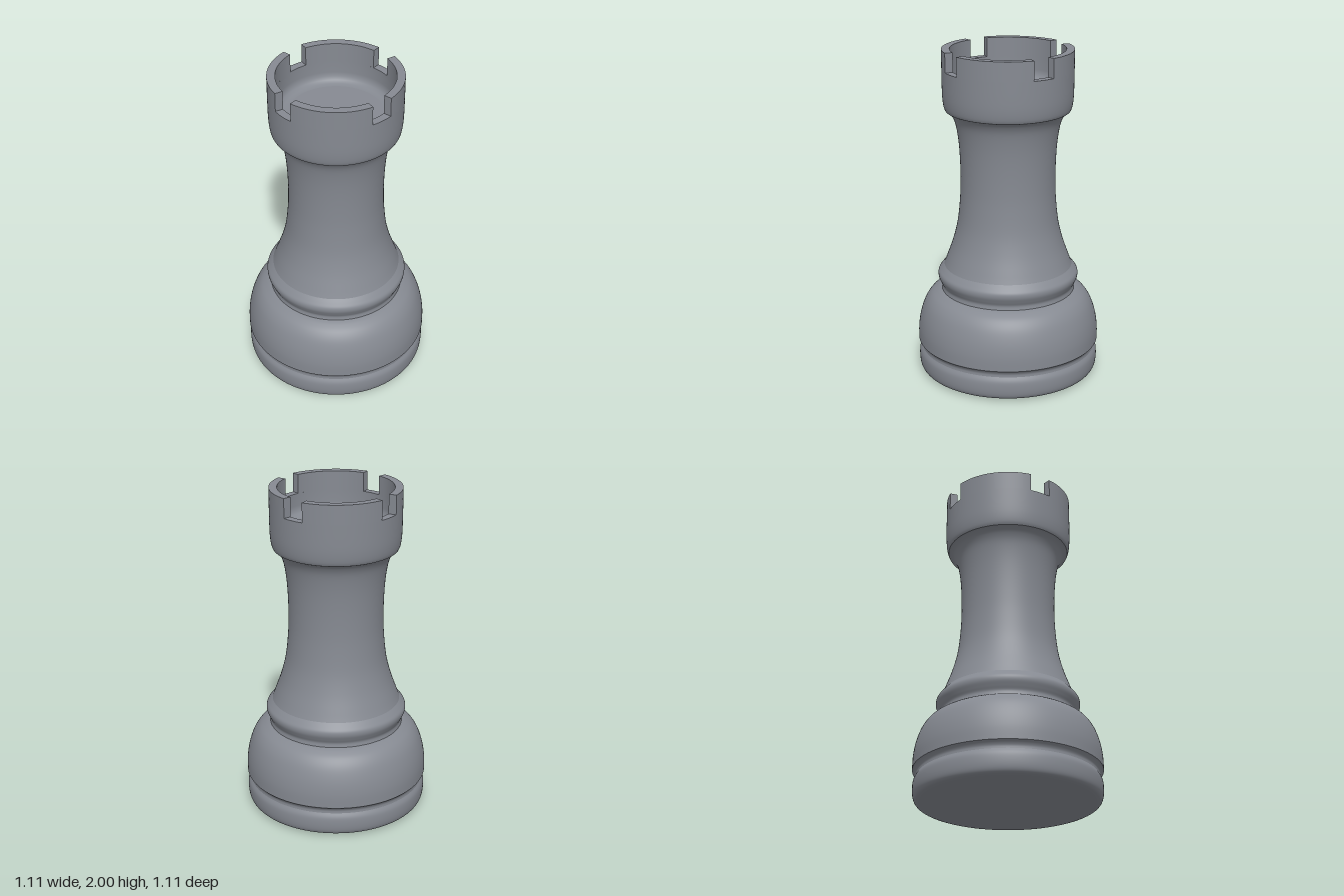
import * as THREE from 'three';

const SEGMENTS = 128;

// Turn a list of [radius, height] pairs into a profile, smoothed when asked
function profile(pairs, smooth) {
  const pts = pairs.map(([r, y]) => new THREE.Vector2(r, y));
  return smooth ? new THREE.SplineCurve(pts).getPoints(pts.length * 4) : pts;
}

export function createModel() {
  const model = new THREE.Group();
  model.name = 'rook';
  const grey = new THREE.MeshStandardMaterial({ color: 0x868a92 });
  grey.name = 'slate grey';

  function add(parent, name, geometry) {
    const mesh = new THREE.Mesh(geometry, grey);
    mesh.name = name;
    parent.add(mesh);
    return mesh;
  }
  function turned(name, pairs, smooth = true) {
    return add(model, name, new THREE.LatheGeometry(profile(pairs, smooth), SEGMENTS));
  }

  // Foot: flat underside, rounded rim and the groove above it
  turned('underside', [[0, 0], [0.34, 0.002], [0.51, 0.01]], false);
  turned('footRim', [[0.51, 0.01], [0.532, 0.018], [0.545, 0.04], [0.55, 0.08], [0.547, 0.125], [0.533, 0.155]]);
  turned('footGroove', [[0.533, 0.155], [0.533, 0.172], [0.541, 0.188], [0.553, 0.2]]);

  // Domed body
  turned('body', [[0.553, 0.2], [0.551, 0.28], [0.537, 0.36], [0.51, 0.435], [0.475, 0.485], [0.435, 0.513], [0.405, 0.525]]);

  // Collar and concave shaft flow into each other
  turned('collar', [[0.405, 0.525], [0.402, 0.55], [0.413, 0.575], [0.425, 0.605], [0.424, 0.632], [0.408, 0.655], [0.388, 0.678]]);
  turned('shaft', [[0.388, 0.678], [0.37, 0.725], [0.333, 0.83], [0.304, 0.95], [0.288, 1.1], [0.284, 1.23],
    [0.287, 1.36], [0.296, 1.47], [0.312, 1.56], [0.334, 1.61], [0.355, 1.632], [0.37, 1.64]]);

  // Crown: outer wall, ledge at notch level, and the hollow inside
  const outer = 0.388, inner = 0.34, ledge = 1.885, top = 2;
  turned('crownWall', [[0.37, 1.64], [0.378, 1.66], [0.384, 1.7], [0.387, 1.76], [outer, ledge]]);
  turned('crownLedge', [[outer, ledge], [inner, ledge]], false);
  turned('crownHollow', [[inner, ledge], [inner, 1.81], [0.336, 1.785], [0.325, 1.765], [0.305, 1.753], [0.28, 1.75]], false);
  turned('crownFloor', [[0.28, 1.75], [0, 1.75]], false);

  // Four battlements separated by notches on the axes
  const gap = 0.17;
  const sweep = Math.PI / 2 - 2 * gap;
  const faces = {
    outerFace: [[outer, ledge], [outer, top]],
    topFace: [[outer, top], [inner, top]],
    innerFace: [[inner, top], [inner, ledge]],
  };
  for (let i = 0; i < 4; i++) {
    const battlement = new THREE.Group();
    battlement.name = 'battlement' + (i + 1);
    battlement.rotation.y = i * Math.PI / 2;
    for (const [name, pairs] of Object.entries(faces)) {
      add(battlement, name, new THREE.LatheGeometry(profile(pairs, false), 28, gap, sweep));
    }
    // Flat ends facing the notches
    [gap, gap + sweep].forEach((phi, side) => {
      const end = add(battlement, 'notchSide', new THREE.PlaneGeometry(outer - inner, top - ledge));
      const r = (outer + inner) / 2;
      end.position.set(r * Math.sin(phi), (ledge + top) / 2, r * Math.cos(phi));
      end.rotation.y = phi - Math.PI / 2 + side * Math.PI;
    });
    model.add(battlement);
  }

  return model;
}
